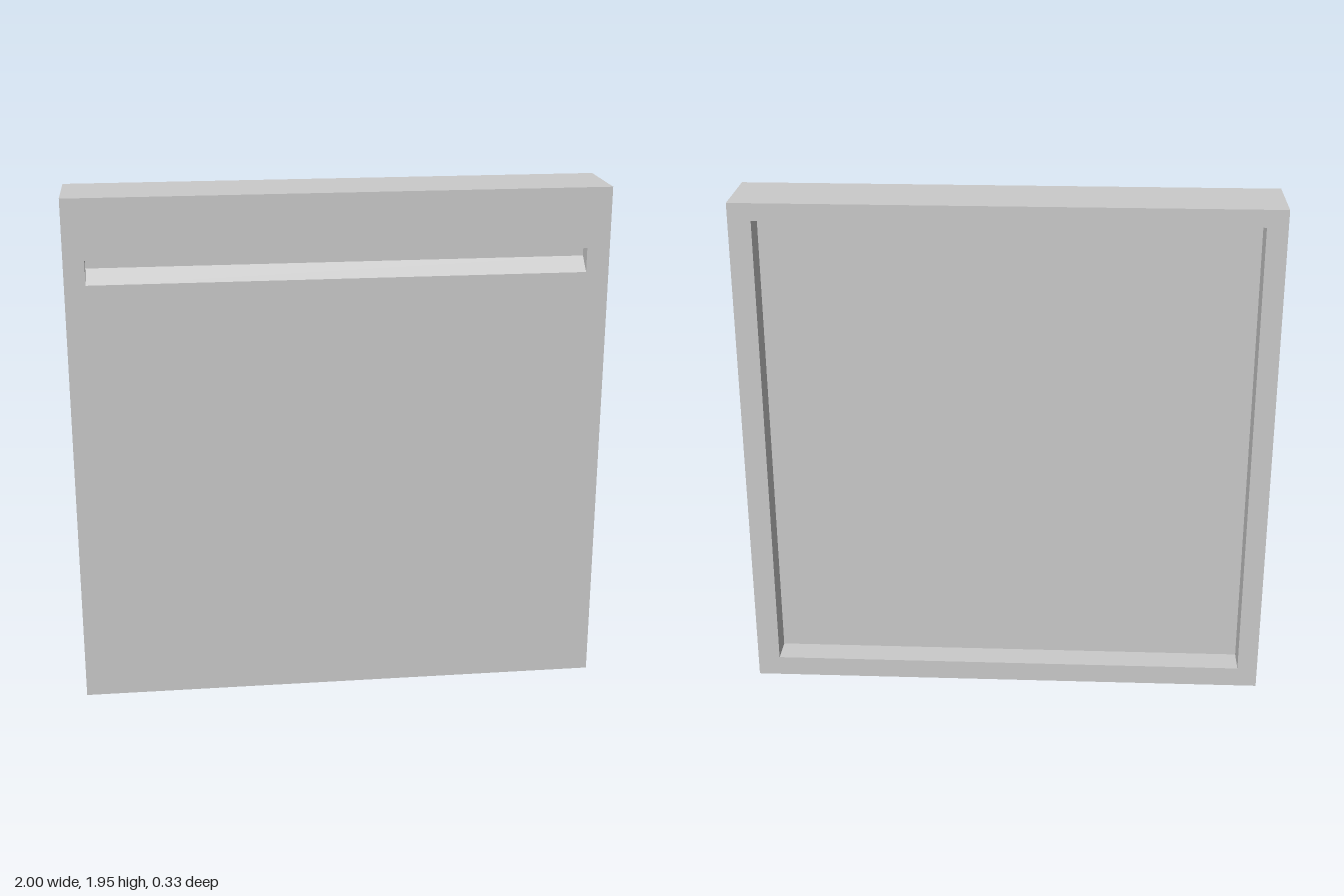
import * as THREE from 'three';

// four corners of an upright rectangle, counter-clockwise seen from the front
const rect = (x0, x1, y0, y1, z) =>
  [[x0, y0, z], [x1, y0, z], [x1, y1, z], [x0, y1, z]];

const quad = (a, b, c, d) => [a, b, c, a, c, d].flat();

// joins successive rectangles, ordered from the back of the panel to the front
function bridge(...loops) {
  const out = [];
  for (let k = 0; k + 1 < loops.length; k++) {
    for (let i = 0; i < 4; i++) {
      const j = (i + 1) % 4;
      out.push(...quad(loops[k][i], loops[k][j], loops[k + 1][j], loops[k + 1][i]));
    }
  }
  return out;
}

function makeMesh(name, positions) {
  const geometry = new THREE.BufferGeometry();
  geometry.setAttribute('position', new THREE.Float32BufferAttribute(positions, 3));
  geometry.computeVertexNormals();
  const mesh = new THREE.Mesh(geometry,
    new THREE.MeshStandardMaterial({ color: 0xcccccc, flatShading: true }));
  mesh.name = name;
  return mesh;
}

export function createModel() {
  const W = 0.9967, H = 1.95, D = 0.145; // half width, height, half depth
  const x0 = -0.92, x1 = 0.912;          // shared ends of recess and groove

  const recessFloor = rect(x0, x1, 0.078, 1.885, -D + 0.107);
  const recessRim = rect(x0, x1, 0.078, 1.885, -D);
  const outerBack = rect(-W, W, 0, H, -D);
  const outerFront = rect(-W, W, 0, H, D);
  const grooveRim = rect(x0, x1, 1.635, 1.725, D);
  const grooveInner = rect(x0, x1, 1.685, 1.725, D - 0.055);

  const panel = new THREE.Group();
  panel.name = 'drawerFront';
  panel.add(
    // back frame, outer sides and front face
    makeMesh('panelBody', bridge(recessRim, outerBack, outerFront, grooveRim)),
    // hollow in the back
    makeMesh('backRecess', [...bridge(recessFloor, recessRim),
      ...quad(...[...recessFloor].reverse())]),
    // finger pull with a sloping lower face
    makeMesh('gripGroove', [...bridge(grooveRim, grooveInner), ...quad(...grooveInner)])
  );
  // the panel stands slightly turned
  panel.rotation.y = -0.0226;

  const model = new THREE.Group();
  model.name = 'model';
  model.add(panel);
  return model;
}
